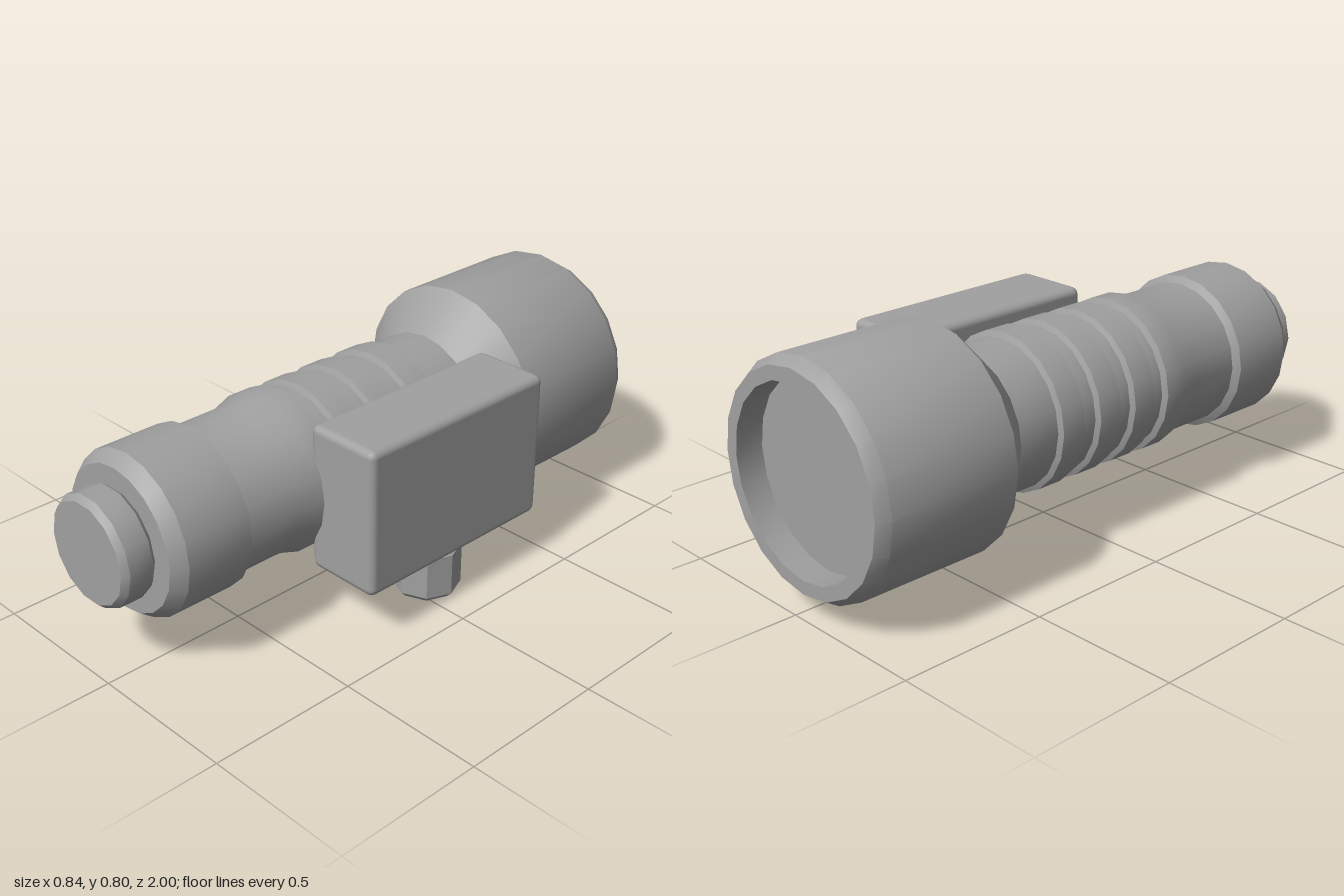
import * as THREE from 'three';
import { toCreasedNormals } from 'three/addons/utils/BufferGeometryUtils.js';
import { RoundedBoxGeometry } from 'three/addons/geometries/RoundedBoxGeometry.js';

const AXIS_X = -0.05, AXIS_Y = 0.43;

// Turned solid from [radius, height] pairs, smooth around and sharp at bevels
function turned(profile, sides, phase = 0) {
  const points = profile.map(([r, h]) => new THREE.Vector2(r, h));
  return toCreasedNormals(new THREE.LatheGeometry(points, sides, phase), 0.6);
}

export function createModel() {
  const group = new THREE.Group();
  const grey = new THREE.MeshStandardMaterial({ name: 'grey', color: 0xa0a0a0 });

  function add(name, geometry, x, y, z) {
    const mesh = new THREE.Mesh(geometry, grey);
    mesh.name = name;
    mesh.position.set(x, y, z);
    group.add(mesh);
  }
  const addAlongAxis = (name, profile, sides, phase) =>
    add(name, turned(profile, sides, phase).rotateX(Math.PI / 2), AXIS_X, AXIS_Y, 0);

  // Flared head with a recessed lens
  addAlongAxis('head', [
    [0, -0.91], [0.3, -0.91], [0.3, -1], [0.345, -1], [0.37, -0.96],
    [0.37, -0.505], [0.245, -0.375],
  ], 20);

  // Ribbed grip, ending in a flared collar
  const grip = [[0.245, -0.375]];
  for (const z of [-0.17, -0.01, 0.145]) {
    grip.push([0.245, z - 0.053], [0.262, z - 0.045], [0.262, z + 0.045], [0.245, z + 0.053]);
  }
  grip.push([0.245, 0.242], [0.264, 0.25], [0.264, 0.335], [0.243, 0.4], [0.243, 0.6]);
  addAlongAxis('grip', grip, 20);

  // Tail cap
  addAlongAxis('tailCap', [
    [0.243, 0.595], [0.267, 0.61], [0.267, 0.84], [0.235, 0.885], [0, 0.885],
  ], 20);

  // Tail button
  addAlongAxis('tailButton', [
    [0.163, 0.88], [0.18, 0.9], [0.18, 0.98], [0.163, 1], [0, 1],
  ], 14, Math.PI / 2);

  // Side box and the eight-sided knob beneath it
  add('sideBox', new RoundedBoxGeometry(0.265, 0.495, 0.755, 2, 0.025), 0.285, 0.428, -0.055);
  add('knob', turned([
    [0, 0], [0.092, 0], [0.112, 0.02], [0.112, 0.163], [0.092, 0.183], [0, 0.183],
  ], 8), 0.286, 0, -0.055);

  return group;
}
